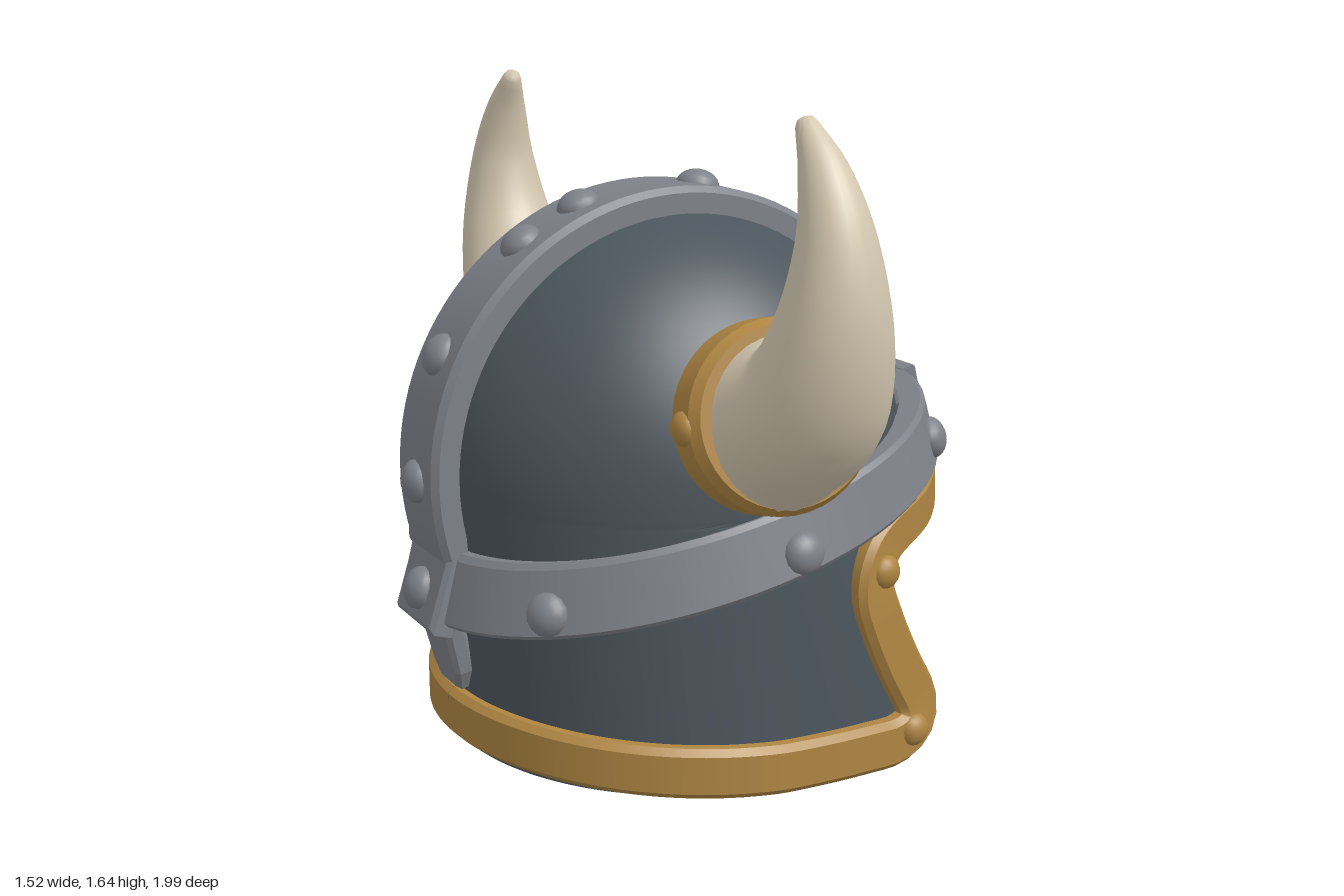
import * as THREE from 'three';
import { toCreasedNormals } from 'three/addons/utils/BufferGeometryUtils.js';

const V = (x, y, z) => new THREE.Vector3(x, y, z);
const CX = -0.04, CY = 0.75, R = 0.62;

// Skin through rows of points; faces point along (row direction) x (next row), reversed
function loft(rows, crease = 0.6) {
  const n = rows[0].length, pos = [], idx = [];
  rows.forEach(row => row.forEach(p => pos.push(p.x, p.y, p.z)));
  for (let i = 0; i < rows.length - 1; i++) {
    for (let j = 0; j < n - 1; j++) {
      const a = i * n + j, b = a + n;
      idx.push(a, b + 1, b, a, a + 1, b + 1);
    }
  }
  const g = new THREE.BufferGeometry();
  g.setAttribute('position', new THREE.Float32BufferAttribute(pos, 3));
  g.setIndex(idx);
  return toCreasedNormals(g, crease);
}

// Flat strap with bevelled edges swept along points; depth(i) is how far it reaches inward
function strap(points, normals, half, depth, outside) {
  const b = 0.016, last = points.length - 1;
  return loft(points.map((p, i) => {
    const t = points[Math.min(i + 1, last)].clone().sub(points[Math.max(i - 1, 0)]).normalize();
    const u = normals[i].clone().cross(t).normalize(), d = -depth(i);
    const section = [[-half, d], [half, d], [half, outside - b], [half - b, outside],
      [-half + b, outside], [-half, outside - b], [-half, d]];
    return section.map(([s, h]) => p.clone().addScaledVector(u, s).addScaledVector(normals[i], h));
  }));
}

// Helmet wall: round dome above, straighter and stretched forward below
function radii(y) {
  const d = Math.max(0, CY - y);
  const k = y > CY ? Math.sqrt(Math.max(0, 1 - ((y - CY) / R) ** 2)) : 1;
  return { back: R * k - 0.075 * d, front: R * k + 0.95 * d, side: 0.595 * k + 0.03 * d };
}
function wall(a, y, off = 0) {
  const r = radii(y), c = Math.cos(a);
  return V(CX + ((c > 0 ? r.front : r.back) + off) * c, y, (r.side + off) * Math.sin(a));
}
function wallNormal(a, y) {
  const r = radii(y), c = Math.cos(a);
  return V(c / (c > 0 ? r.front : r.back), 0, Math.sin(a) / r.side).normalize();
}
function angleAt(x, y) {
  const r = radii(y), d = x - CX;
  return Math.acos(THREE.MathUtils.clamp(d / (d > 0 ? r.front : r.back), -1, 1));
}

// Face opening seen from the side, bottom to brow
const opening = [[0.2, 0.077], [0.3, 0.077], [0.355, 0.105], [0.366, 0.16], [0.31, 0.27], [0.26, 0.38],
  [0.23, 0.48], [0.265, 0.57], [0.45, 0.632], [0.6, 0.682]];
function openingAngle(y) {
  if (y >= 0.7) return 0;
  const e = [[0.2, 0.03], ...opening.slice(1), [0.627, 0.7]];
  const i = Math.max(1, e.findIndex(p => p[1] > y));
  const t = (y - e[i - 1][1]) / (e[i][1] - e[i - 1][1]);
  return angleAt(THREE.MathUtils.lerp(e[i - 1][0], e[i][0], t), y);
}

export function createModel() {
  const model = new THREE.Group();
  const mat = (name, color) => {
    const m = new THREE.MeshStandardMaterial({ color });
    m.name = name;
    return m;
  };
  const dark = mat('dark iron', 0x4c555d), steel = mat('light steel', 0x7e8189);
  const gold = mat('aged gold', 0xae8542), bone = mat('horn bone', 0xd4c8b0);
  const add = (name, geo, material, parent = model) => {
    const m = new THREE.Mesh(geo, material);
    m.name = name;
    parent.add(m);
    return m;
  };
  const stud = (name, p, n, r, material, parent = model) => {
    const m = add(name, new THREE.SphereGeometry(r, 14, 6, 0, Math.PI * 2, 0, Math.PI / 2), material, parent);
    m.position.copy(p);
    m.quaternion.setFromUnitVectors(V(0, 1, 0), n.clone().normalize());
    m.scale.y = 0.75;
  };

  // Shell: outer wall down, around the rim, inner wall up
  const heights = [];
  for (let i = 0; i <= 18; i++) heights.push(CY + R * Math.cos(i / 18 * Math.PI / 2));
  for (let i = 1; i <= 48; i++) heights.push(CY - i / 48 * (CY - 0.035));
  const shellRow = (y, inner) => {
    const a0 = openingAngle(y), row = [];
    for (let j = 0; j <= 72; j++) {
      const p = wall(a0 + (Math.PI - a0) * 2 * j / 72, y);
      if (inner) {
        p.x = CX + (p.x - CX) * 0.92;
        p.z *= 0.92;
        if (y > CY) p.y = CY + (y - CY) * 0.92;
      }
      row.push(p);
    }
    return row;
  };
  add('shell', loft([...heights.map(y => shellRow(y, false)),
    ...heights.slice().reverse().map(y => shellRow(y, true))], 0.8), dark);

  // Thin dark lip inside the bottom edge
  const lip = [], lipN = [];
  for (let i = 0; i <= 48; i++) {
    const a = 1.45 + i / 48 * (Math.PI - 1.45) * 2;
    lip.push(wall(a, 0.068));
    lipN.push(wallNormal(a, 0.068));
  }
  add('innerLip', strap(lip, lipN, 0.033, () => 0.07, 0), dark);

  // Gold trim around rim, cheeks and brow; it wraps inward only at the face opening
  const half = [V(Math.PI, 0.122, 0), V(2.7, 0.12, 0), V(2.2, 0.108, 0), V(1.75, 0.093, 0),
    ...opening.map(([x, y]) => V(angleAt(x, y), y, 0))];
  const path = new THREE.CatmullRomCurve3([...half, V(0, 0.697, 0),
    ...half.slice().reverse().map(p => V(-p.x, p.y, 0))], false, 'centripetal').getSpacedPoints(260);
  add('rimTrim', strap(path.map(p => wall(p.x, p.y)), path.map(p => wallNormal(p.x, p.y)), 0.063,
    i => Math.abs(path[i].x) > 1.35 ? 0.015 : 0.058, 0.038), gold);
  for (const s of [1, -1]) {
    for (const [x, y] of [[0.335, 0.1], [0.25, 0.52], [0.61, 0.685]]) {
      const a = s * angleAt(x, y);
      stud('trimStud', wall(a, y, 0.03), wallNormal(a, y), 0.043, gold);
    }
  }

  // Sloping brow band
  const profile = [[0.61, 0], [0.695, 0], [0.705, 0.013], [0.668, 0.157], [0.655, 0.17], [0.6, 0.17]];
  const band = new THREE.LatheGeometry(profile.map(p => new THREE.Vector2(...p)), 72);
  band.scale(1, 1, 0.925);
  const bp = band.attributes.position;
  for (let i = 0; i < bp.count; i++) bp.setY(i, bp.getY(i) + 0.562 + 0.25 * bp.getX(i));
  band.translate(-0.01, 0, 0);
  band.deleteAttribute('normal');
  band.deleteAttribute('uv');
  add('browBand', toCreasedNormals(band, 0.4), steel);
  for (const s of [1, -1]) {
    for (const [x, y] of [[-0.55, 0.485], [0, 0.62], [0.54, 0.775]]) {
      const c = (x + 0.01) / 0.688, sn = s * Math.sqrt(1 - c * c);
      stud('bandStud', V(x, y, 0.632 * sn), V(c, 0.25, sn), 0.054, steel);
    }
  }

  // Crest strap over the dome
  const arc = [], arcN = [];
  for (let i = 0; i <= 60; i++) {
    const a = 0.08 + i / 60 * (Math.PI + 0.25);
    arcN.push(V(Math.cos(a), Math.sin(a), 0));
    arc.push(V(CX + 0.63 * Math.cos(a), 0.745 + 0.63 * Math.sin(a), 0));
  }
  add('crestStrap', strap(arc, arcN, 0.118, () => 0.018, 0.05), steel);
  for (const deg of [38, 81, 110, 125, 154, 181]) {
    const a = deg * Math.PI / 180, n = V(Math.cos(a), Math.sin(a), 0);
    stud('crestStud', V(CX, 0.745, 0).addScaledVector(n, 0.672), n, 0.056, steel);
  }

  // Mirrored plates, facing +x and leaning outward at the bottom
  const plate = (name, pts, depth, x, y, lean, material, back = false) => {
    const all = [...pts, ...pts.filter(p => p[0] > 0).reverse().map(([a, b]) => [-a, b])];
    const b = 0.012;
    const g = new THREE.ExtrudeGeometry(new THREE.Shape(all.map(p => new THREE.Vector2(...p))),
      { depth: depth - 2 * b, bevelSize: b, bevelThickness: b, bevelOffset: -b, bevelSegments: 1 });
    g.translate(0, 0, -depth + b).rotateY(Math.PI / 2);
    const m = add(name, g, material);
    m.position.set(x, y, 0);
    m.rotation.set(0, back ? Math.PI : 0, lean);
  };
  plate('browPlate', [[0.122, 0.15], [0.122, -0.05], [0.075, -0.08], [0.07, -0.15], [0, -0.22]], 0.06, 0.712, 0.76, 0.25, steel);
  plate('noseGuard', [[0.19, 0.06], [0.125, -0.01], [0.095, -0.12], [0.06, -0.18], [0, -0.24]], 0.07, 0.668, 0.665, 0.4, gold);
  plate('backPlate', [[0.12, 0.1], [0.12, -0.09]], 0.07, -0.715, 0.465, 0.3, steel, true);
  plate('tailPlate', [[0.095, 0.11], [0.08, -0.06], [0.055, -0.11]], 0.055, -0.672, 0.3, -0.24, steel, true);
  stud('plateStud', V(0.69, 0.83, 0), V(1, 0.25, 0), 0.055, steel);
  stud('plateStud', V(-0.715, 0.46, 0), V(-1, 0.3, 0), 0.055, steel);

  // Horns with gold collars; path entries are z, y, radius
  const spine = [[0.55, 0.93, 0.2], [0.64, 0.95, 0.2], [0.78, 1.03, 0.173], [0.865, 1.2, 0.134],
    [0.878, 1.4, 0.089], [0.835, 1.54, 0.057], [0.775, 1.635, 0.026]];
  const curve = new THREE.CatmullRomCurve3(spine.map(p => V(0, p[1], p[0])));
  const thick = new THREE.CatmullRomCurve3(spine.map(p => V(p[2], 0, 0)));
  for (const s of [1, -1]) {
    const side = new THREE.Group();
    side.name = s > 0 ? 'leftHorn' : 'rightHorn';
    side.position.x = -0.06;
    side.rotation.y = s > 0 ? 0 : Math.PI;
    model.add(side);
    const rows = [];
    const ring = (t, r, push) => {
      const tan = curve.getTangent(t), v = tan.clone().cross(V(1, 0, 0)), row = [];
      const c = curve.getPoint(t).addScaledVector(tan, push);
      c.x = -s * 0.04 * t;
      for (let j = 0; j <= 28; j++) {
        const a = j / 28 * Math.PI * 2;
        row.push(c.clone().addScaledVector(V(1, 0, 0), r * Math.cos(a)).addScaledVector(v, r * Math.sin(a)));
      }
      rows.push(row);
    };
    for (let i = 0; i <= 32; i++) ring(i / 32, thick.getPoint(i / 32).x, 0);
    ring(1, 0.019, 0.013);
    ring(1, 0.0005, 0.021);
    add('horn', loft(rows, 1), bone, side);

    const collar = new THREE.Group();
    collar.name = 'hornCollar';
    collar.position.set(0, 0.95, 0.6);
    collar.rotation.x = 1.35;
    side.add(collar);
    const cp = [[0.17, -0.06], [0.235, -0.06], [0.25, -0.04], [0.25, 0.035], [0.232, 0.06], [0.195, 0.06], [0.175, 0.03], [0.17, -0.06]];
    const cg = new THREE.LatheGeometry(cp.map(p => new THREE.Vector2(...p)), 40);
    cg.scale(1, 1, 0.92);
    cg.deleteAttribute('normal');
    cg.deleteAttribute('uv');
    add('collarRing', toCreasedNormals(cg, 0.5), gold, collar);
    for (const k of [1, -1]) stud('collarStud', V(k * 0.24, 0, 0), V(k, 0, 0), 0.042, gold, collar);
  }
  return model;
}
